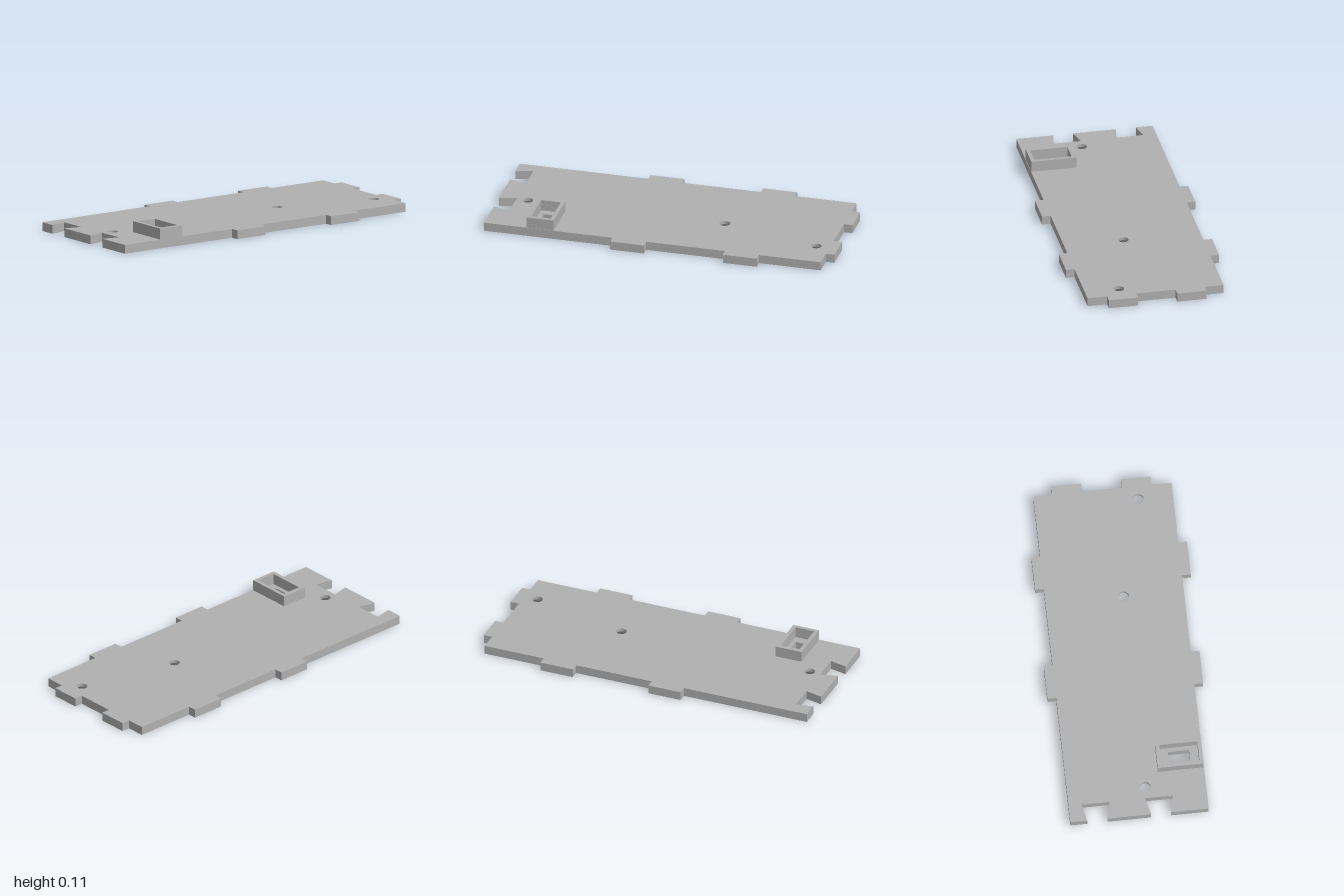
import * as THREE from 'three';

// Loops are lists of [x, z], counter-clockwise seen from above.
const rect = (x0, x1, z0, z1) => [[x0, z1], [x1, z1], [x1, z0], [x0, z0]];
const circle = ([x, z], r, n = 40) => Array.from({ length: n }, (_, i) => {
  const a = (i / n) * Math.PI * 2;
  return [x + r * Math.cos(a), z - r * Math.sin(a)];
});

// Flat horizontal face at height y, facing up (1) or down (-1)
function cap(outer, holes, y, up) {
  const pts = (loop) => loop.map(([x, z]) => new THREE.Vector2(x, -up * z));
  const shape = new THREE.Shape(pts(outer));
  shape.holes = holes.map((h) => new THREE.Path(pts(h)));
  return new THREE.ShapeGeometry(shape).rotateX(-up * Math.PI / 2).translate(0, y, 0);
}

// Wall from a lower loop to an upper loop; inward makes it face the inside
function wall(low, y0, high, y1, inward = false) {
  const pos = [];
  low.forEach((_, i) => {
    const j = (i + 1) % low.length;
    const at = ([x, z], y) => [x, y, z];
    const a = at(low[i], y0), b = at(low[j], y0), c = at(high[j], y1), d = at(high[i], y1);
    const tris = inward ? [a, c, b, a, d, c] : [a, b, c, a, c, d];
    tris.forEach((p) => pos.push(...p));
  });
  const g = new THREE.BufferGeometry();
  g.setAttribute('position', new THREE.Float32BufferAttribute(pos, 3));
  g.computeVertexNormals();
  return g;
}

export function createModel() {
  const grey = new THREE.MeshStandardMaterial({ color: 0xb0b0b0 });
  grey.name = 'grey plastic';
  const model = new THREE.Group();
  model.name = 'mountingPlate';
  const add = (parent, name, geometry) => {
    const mesh = new THREE.Mesh(geometry, grey);
    mesh.name = name;
    parent.add(mesh);
  };
  const group = (name) => {
    const g = new THREE.Group();
    g.name = name;
    model.add(g);
    return g;
  };

  const T = 0.05, RIM = 0.113, SINK = 0.032; // plate top, socket top, countersink depth
  const W = 0.389, TAB = 0.438;              // half widths of body and side tabs

  // Plate outline: dovetail notches in front, tabs on sides and back
  const side = [[W, 0.255], [TAB, 0.255], [TAB, 0.06], [W, 0.06],
    [W, -0.397], [TAB, -0.397], [TAB, -0.594], [W, -0.594]];
  const outline = [
    [-W, 1], [-0.294, 1], [-0.316, 0.902], [-0.157, 0.902], [-0.181, 1],
    [0.066, 1], [0.04, 0.902], [0.199, 0.902], [0.176, 1], [W, 1],
    ...side,
    [W, -0.951], [0.277, -0.951], [0.277, -1], [0.11, -1], [0.11, -0.951],
    [-0.114, -0.951], [-0.114, -1], [-0.282, -1], [-0.282, -0.951], [-W, -0.951],
    ...side.map(([x, z]) => [-x, z]).reverse(),
  ];
  const screws = [[0.194, -0.873], [0.05, -0.305], [0.05, 0.836]];
  const narrow = screws.map((c) => circle(c, 0.03));
  const wide = screws.map((c) => circle(c, 0.055));
  const socketOuter = rect(0.129, 0.387, 0.597, 0.753);
  const socketInner = rect(0.153, 0.366, 0.618, 0.731);
  const slot = rect(0.198, 0.317, 0.642, 0.706);

  const plate = group('plate');
  add(plate, 'plateTop', cap(outline, [...narrow, socketOuter], T, 1));
  add(plate, 'plateBottom', cap(outline, [...wide, slot], 0, -1));
  add(plate, 'plateEdge', wall(outline, 0, outline, T));

  // Countersunk screw holes, wide at the underside
  const holes = group('screwHoles');
  screws.forEach((_, i) => {
    add(holes, 'countersink', wall(wide[i], 0, narrow[i], SINK, true));
    add(holes, 'holeBore', wall(narrow[i], SINK, narrow[i], T, true));
  });

  // Raised rectangular socket with a slot through the plate
  const socket = group('socket');
  add(socket, 'socketOuterWall', wall(socketOuter, T, socketOuter, RIM));
  add(socket, 'socketRim', cap(socketOuter, [socketInner], RIM, 1));
  add(socket, 'socketInnerWall', wall(socketInner, T, socketInner, RIM, true));
  add(socket, 'socketFloor', cap(socketInner, [slot], T, 1));
  add(socket, 'slotWall', wall(slot, 0, slot, T, true));

  return model;
}
